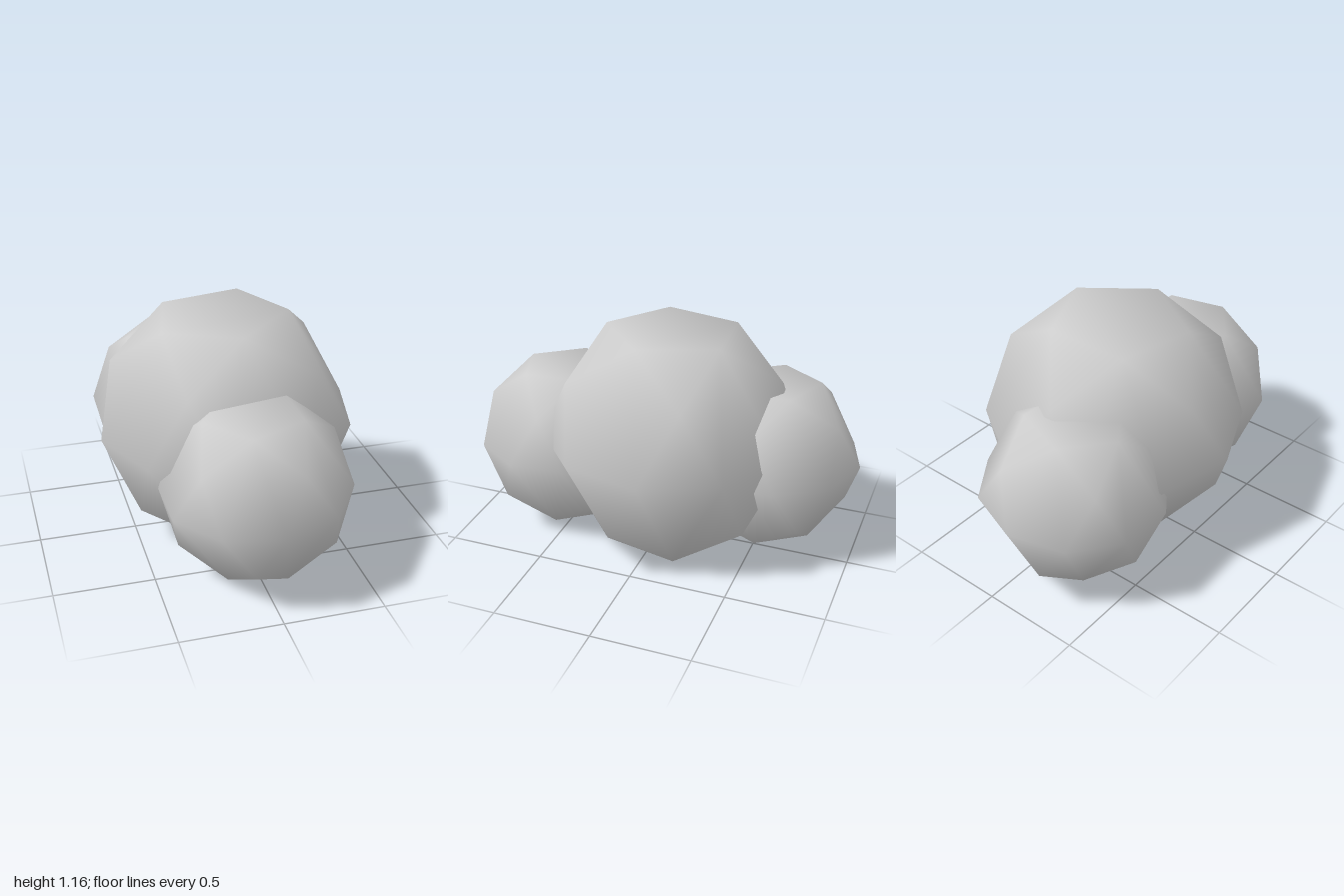
import * as THREE from 'three';
import { ConvexGeometry } from 'three/addons/geometries/ConvexGeometry.js';

const material = new THREE.MeshStandardMaterial({ color: 0xcccccc });

// Thirty-vertex ball: a ten-sided equator, two rings of five above and below, flat five-sided caps
function puffGeometry(radius, turnDegrees) {
  const points = [];
  const ring = (latitude, count, offset) => {
    const lat = THREE.MathUtils.degToRad(latitude);
    for (let i = 0; i < count; i++) {
      const a = THREE.MathUtils.degToRad(turnDegrees + offset + (i * 360) / count);
      points.push(new THREE.Vector3(
        Math.cos(lat) * Math.cos(a), Math.sin(lat), Math.cos(lat) * Math.sin(a)
      ).multiplyScalar(radius));
    }
  };
  ring(58.28, 5, 0);
  ring(31.72, 5, 36);
  ring(0, 10, 18);
  ring(-31.72, 5, 0);
  ring(-58.28, 5, 36);

  // Radial normals give smooth shading over the coarse facets
  const geometry = new ConvexGeometry(points);
  const position = geometry.attributes.position;
  const normal = geometry.attributes.normal;
  const v = new THREE.Vector3();
  for (let i = 0; i < position.count; i++) {
    v.fromBufferAttribute(position, i).normalize();
    normal.setXYZ(i, v.x, v.y, v.z);
  }
  return geometry;
}

export function createModel() {
  const cloud = new THREE.Group();
  cloud.name = 'cloud';

  // One large puff with a smaller one at each end, all leaning slightly
  const puffs = [
    { name: 'middlePuff', radius: 0.66, turn: 13, at: [0, 0.587, -0.04], lean: [0, 0.053] },
    { name: 'frontPuff', radius: 0.47, turn: 35, at: [0, 0.475, 0.53], lean: [0.03, 0.05] },
    { name: 'backPuff', radius: 0.47, turn: 37, at: [-0.145, 0.482, -0.53], lean: [0.025, 0.045] },
  ];
  for (const { name, radius, turn, at, lean } of puffs) {
    const puff = new THREE.Mesh(puffGeometry(radius, turn), material);
    puff.name = name;
    puff.position.set(...at);
    puff.rotation.set(lean[0], 0, lean[1]);
    cloud.add(puff);
  }
  return cloud;
}
